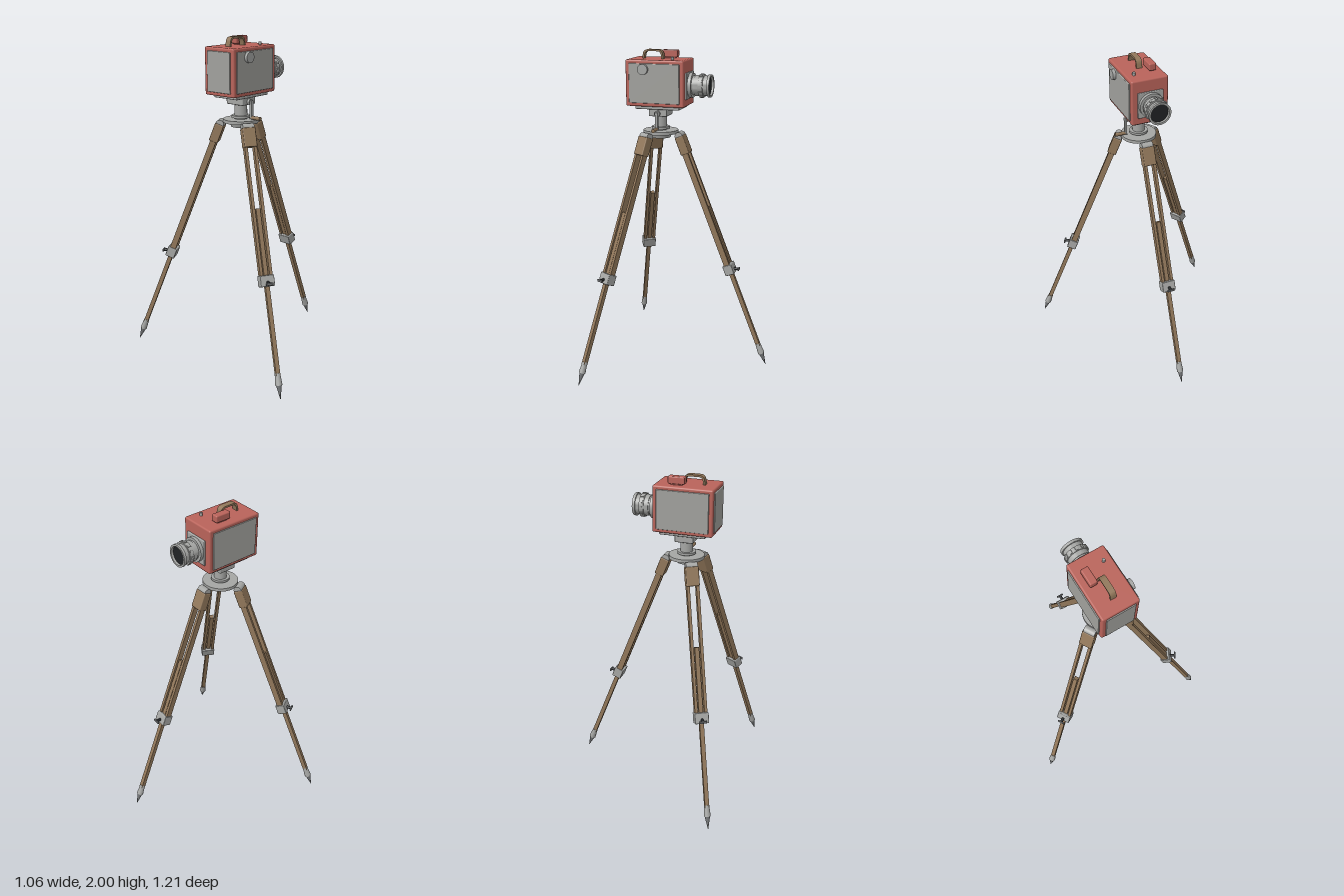
import * as THREE from 'three';
import { toCreasedNormals } from 'three/addons/utils/BufferGeometryUtils.js';
import { RoundedBoxGeometry } from 'three/addons/geometries/RoundedBoxGeometry.js';

const material = (name, color) => {
  const m = new THREE.MeshStandardMaterial({ color });
  m.name = name;
  return m;
};
const red = material('red paint', 0xb9635a);
const panelGrey = material('panel grey', 0xa1a19d);
const metal = material('light metal', 0xa5a6a4);
const steel = material('dark steel', 0x717375);
const wood = material('wood', 0x91775a);
const black = material('black', 0x202224);

function add(parent, name, geometry, mat, x = 0, y = 0, z = 0) {
  const mesh = new THREE.Mesh(geometry, mat);
  mesh.name = name;
  mesh.position.set(x, y, z);
  parent.add(mesh);
  return mesh;
}
const box = (w, h, d) => new THREE.BoxGeometry(w, h, d);
const rounded = (w, h, d, r) => new RoundedBoxGeometry(w, h, d, 2, r);
const cyl = (rTop, rBottom, h, n = 24) => new THREE.CylinderGeometry(rTop, rBottom, h, n);

const AXIS_X = -0.175; // tripod axis
const LENS_Y = 1.79;

// One leg: built upright from its spike, then leaned in towards the hub
function makeLeg() {
  const leg = new THREE.Group();
  leg.name = 'leg';
  leg.position.x = 0.7;
  leg.rotation.z = THREE.MathUtils.degToRad(21.3);

  add(leg, 'spike', cyl(0.017, 0.001, 0.08, 16), steel, 0, 0.04);
  add(leg, 'ferrule', cyl(0.016, 0.021, 0.07, 16), metal, 0, 0.115);
  add(leg, 'lowerLeg', box(0.026, 0.97, 0.026), wood, 0, 0.62);
  for (const side of [-1, 1]) {
    add(leg, 'rail', box(0.036, 0.84, 0.018), wood, 0, 1.08, side * 0.029);
  }
  add(leg, 'topBlock', rounded(0.056, 0.115, 0.08, 0.006), wood, 0, 1.525);
  add(leg, 'hinge', cyl(0.025, 0.025, 0.07), metal, 0.0, 1.585).rotation.x = Math.PI / 2;
  add(leg, 'clamp', rounded(0.06, 0.066, 0.086, 0.005), metal, 0, 0.682);

  // Wing screw on the outer face of the clamp, kept level
  const screw = new THREE.Group();
  screw.name = 'clampScrew';
  screw.position.set(0.024, 0.675, 0);
  screw.rotation.z = -leg.rotation.z;
  add(screw, 'screwShaft', cyl(0.009, 0.009, 0.036, 12), black, 0.015).rotation.z = Math.PI / 2;
  add(screw, 'screwWing', rounded(0.01, 0.016, 0.046, 0.004), steel, 0.034);
  leg.add(screw);
  return leg;
}

function makeTripod() {
  const tripod = new THREE.Group();
  tripod.name = 'tripod';
  tripod.position.x = AXIS_X;
  for (let i = 0; i < 3; i++) {
    const arm = new THREE.Group();
    arm.name = 'legArm';
    arm.rotation.y = (i * Math.PI * 2) / 3;
    arm.add(makeLeg());
    tripod.add(arm);
  }
  add(tripod, 'hubDisc', cyl(0.108, 0.108, 0.02, 40), metal, 0, 1.5);
  add(tripod, 'hubUnderside', cyl(0.07, 0.06, 0.03, 32), metal, 0, 1.478);
  add(tripod, 'headCollar', cyl(0.056, 0.056, 0.014, 32), metal, 0, 1.525);
  add(tripod, 'headColumn', cyl(0.038, 0.038, 0.1, 32), metal, 0, 1.56);
  add(tripod, 'headBlock', rounded(0.115, 0.046, 0.13, 0.006), metal, 0, 1.622);
  add(tripod, 'mountPlate', rounded(0.28, 0.02, 0.18, 0.005), metal, 0.005, 1.655);

  // Pan lever
  add(tripod, 'leverPivot', cyl(0.018, 0.018, 0.02, 20), metal, 0, 1.618, 0.072).rotation.x = Math.PI / 2;
  add(tripod, 'leverArm', box(0.018, 0.11, 0.014), metal, 0, 1.572, 0.085);
  add(tripod, 'leverGrip', cyl(0.012, 0.01, 0.068, 16), wood, 0, 1.525, 0.12).rotation.x = Math.PI / 2;
  return tripod;
}

// Turned lens barrel: [distance along x, radius]
function makeLens() {
  const lens = new THREE.Group();
  lens.name = 'lens';
  lens.position.y = LENS_Y;
  add(lens, 'lensPlate', rounded(0.014, 0.16, 0.16, 0.005), metal, 0.009);
  const profile = [
    [0.012, 0], [0.012, 0.075], [0.036, 0.075], [0.036, 0.058], [0.05, 0.058], [0.05, 0.063],
    [0.078, 0.063], [0.078, 0.069], [0.106, 0.069], [0.106, 0.06], [0.132, 0.06],
    [0.132, 0.069], [0.148, 0.069], [0.148, 0.057], [0.125, 0.055],
  ].map(([x, r]) => new THREE.Vector2(r, x));
  const barrel = toCreasedNormals(new THREE.LatheGeometry(profile, 40), 0.5);
  add(lens, 'barrel', barrel, metal).rotation.z = -Math.PI / 2;
  add(lens, 'glass', cyl(0.056, 0.056, 0.008, 40), black, 0.13).rotation.z = -Math.PI / 2;
  // Grips around the focus ring
  for (let i = 0; i < 12; i++) {
    const a = (i * Math.PI) / 6;
    const grip = add(lens, 'focusGrip', box(0.02, 0.008, 0.014), metal, 0.092, Math.cos(a) * 0.069, Math.sin(a) * 0.069);
    grip.rotation.x = a;
  }
  return lens;
}

// Flat strap handle arching over the body
function makeHandle() {
  const arch = (s, x, top, r) => {
    s.lineTo(-x, top - r);
    s.quadraticCurveTo(-x + 0.004, top, -x + r, top);
    s.lineTo(x - r, top);
    s.quadraticCurveTo(x - 0.004, top, x, top - r);
  };
  const outer = new THREE.Shape();
  outer.moveTo(-0.068, 0);
  arch(outer, 0.064, 0.06, 0.034);
  outer.lineTo(0.068, 0);
  outer.lineTo(0.056, 0);
  // Inner edge, drawn back to the start
  outer.lineTo(0.053, 0.024);
  outer.quadraticCurveTo(0.048, 0.049, 0.029, 0.049);
  outer.lineTo(-0.029, 0.049);
  outer.quadraticCurveTo(-0.048, 0.049, -0.053, 0.024);
  outer.lineTo(-0.056, 0);
  outer.closePath();
  const g = new THREE.ExtrudeGeometry(outer, { depth: 0.036, bevelEnabled: false, curveSegments: 8 });
  g.translate(0, 0, -0.018);
  return toCreasedNormals(g, 0.6);
}

function makeCamera() {
  const camera = new THREE.Group();
  camera.name = 'camera';
  add(camera, 'body', rounded(0.366, 0.28, 0.23, 0.01), red, -0.178, 1.805);
  for (const side of [-1, 1]) {
    add(camera, 'sidePanel', rounded(0.318, 0.238, 0.012, 0.004), panelGrey, -0.179, 1.805, side * 0.116);
  }
  add(camera, 'rearPanel', rounded(0.012, 0.238, 0.18, 0.004), panelGrey, -0.362, 1.805);

  // Winding knob on the front panel
  add(camera, 'windingKnob', cyl(0.032, 0.032, 0.022, 28), metal, -0.245, 1.89, 0.13).rotation.x = Math.PI / 2;

  // Top fittings
  add(camera, 'handle', makeHandle(), wood, -0.218, 1.94);
  add(camera, 'viewfinder', rounded(0.102, 0.044, 0.045, 0.007), red, -0.127, 1.973, -0.053);
  add(camera, 'viewfinderFoot', box(0.07, 0.016, 0.028), red, -0.127, 1.948, -0.053);
  add(camera, 'releaseButton', cyl(0.009, 0.009, 0.02, 16), metal, -0.078, 1.953, 0.066);
  camera.add(makeLens());
  return camera;
}

export function createModel() {
  const model = new THREE.Group();
  model.name = 'cameraOnTripod';
  model.add(makeTripod(), makeCamera());
  return model;
}
